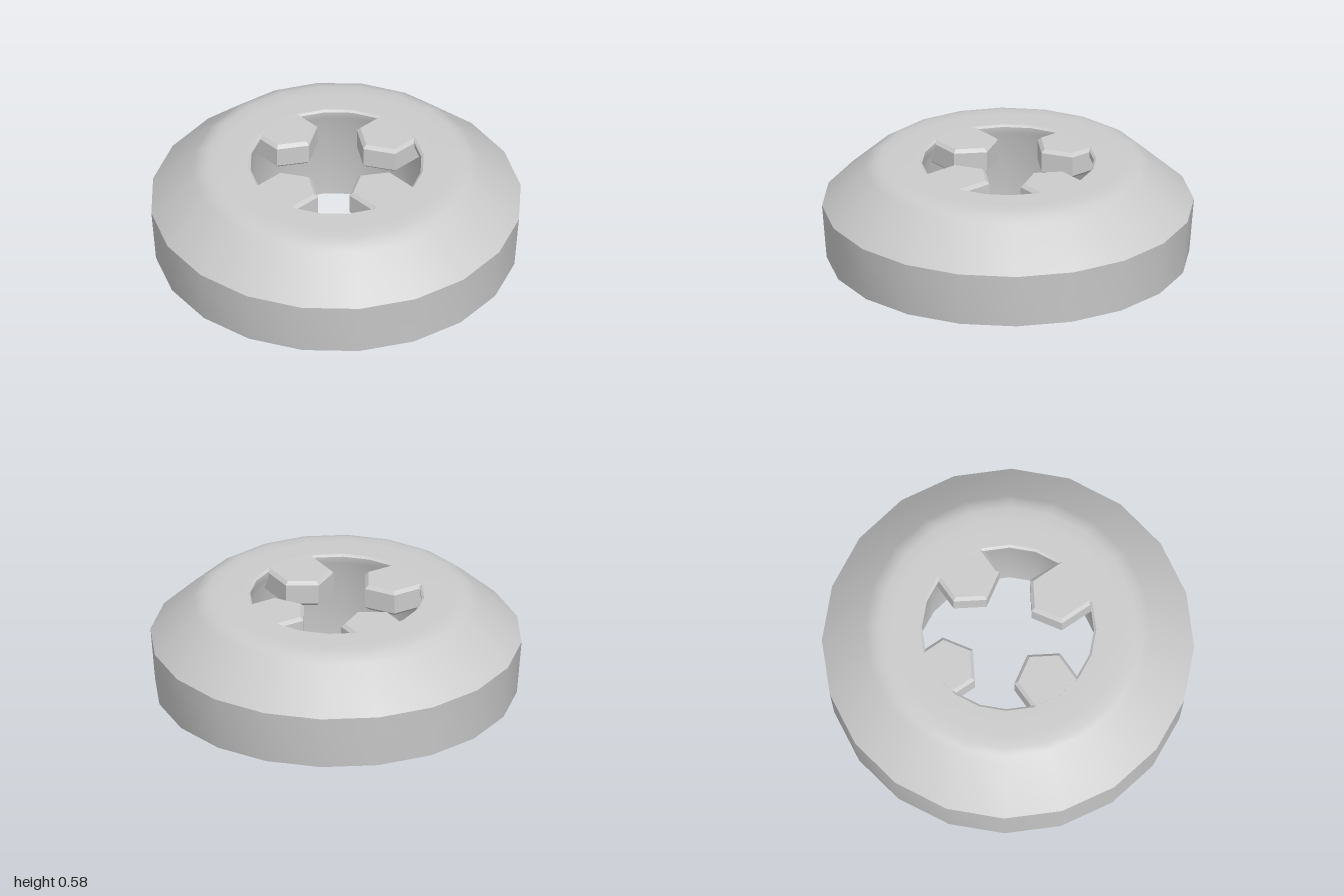
import * as THREE from 'three';
import { toCreasedNormals } from 'three/addons/utils/BufferGeometryUtils.js';

const SIDES = 20;

export function createModel() {
  const group = new THREE.Group();
  const material = new THREE.MeshStandardMaterial({ color: 0xcccccc });

  function add(name, geometry, crease) {
    const mesh = new THREE.Mesh(toCreasedNormals(geometry, crease), material);
    mesh.name = name;
    group.add(mesh);
    return mesh;
  }

  // Ring body: closed profile from the bore's foot, round the outside, back down the bore
  const profile = [
    [0.5, 0], [0.975, 0.03], [1, 0.33],
    [0.77, 0.54], [0.73, 0.566], [0.69, 0.577], [0.62, 0.58],
    [0.475, 0.58], [0.462, 0.57], [0.465, 0.53], [0.5, 0.46], [0.5, 0],
  ].map(([r, y]) => new THREE.Vector2(r, y));
  add('ringBody', new THREE.LatheGeometry(profile, SIDES), 0.62);

  // Pointed teeth: bevelled slabs flush with the top, rooted inside the ring
  const outline = [[-0.15, 0.52], [-0.15, 0.285], [0, 0.192], [0.15, 0.285], [0.15, 0.52]];
  const shape = new THREE.Shape(outline.map(([u, v]) => new THREE.Vector2(u, v)));
  const bevel = 0.018, bottom = 0.435, top = 0.5795;
  const tooth = new THREE.ExtrudeGeometry(shape, {
    depth: top - bottom - 2 * bevel,
    bevelThickness: bevel, bevelSize: bevel, bevelOffset: -bevel, bevelSegments: 1,
  });
  tooth.translate(0, 0, bottom + bevel);
  tooth.rotateX(-Math.PI / 2);

  // The four teeth sit slightly off the ring's centre
  ['backTooth', 'rightTooth', 'frontTooth', 'leftTooth'].forEach((name, i) => {
    const mesh = add(name, tooth, 0.5);
    mesh.rotation.y = i * Math.PI / 2;
    mesh.position.set(i % 2 ? -0.03 : 0, 0, -0.01);
  });

  return group;
}
